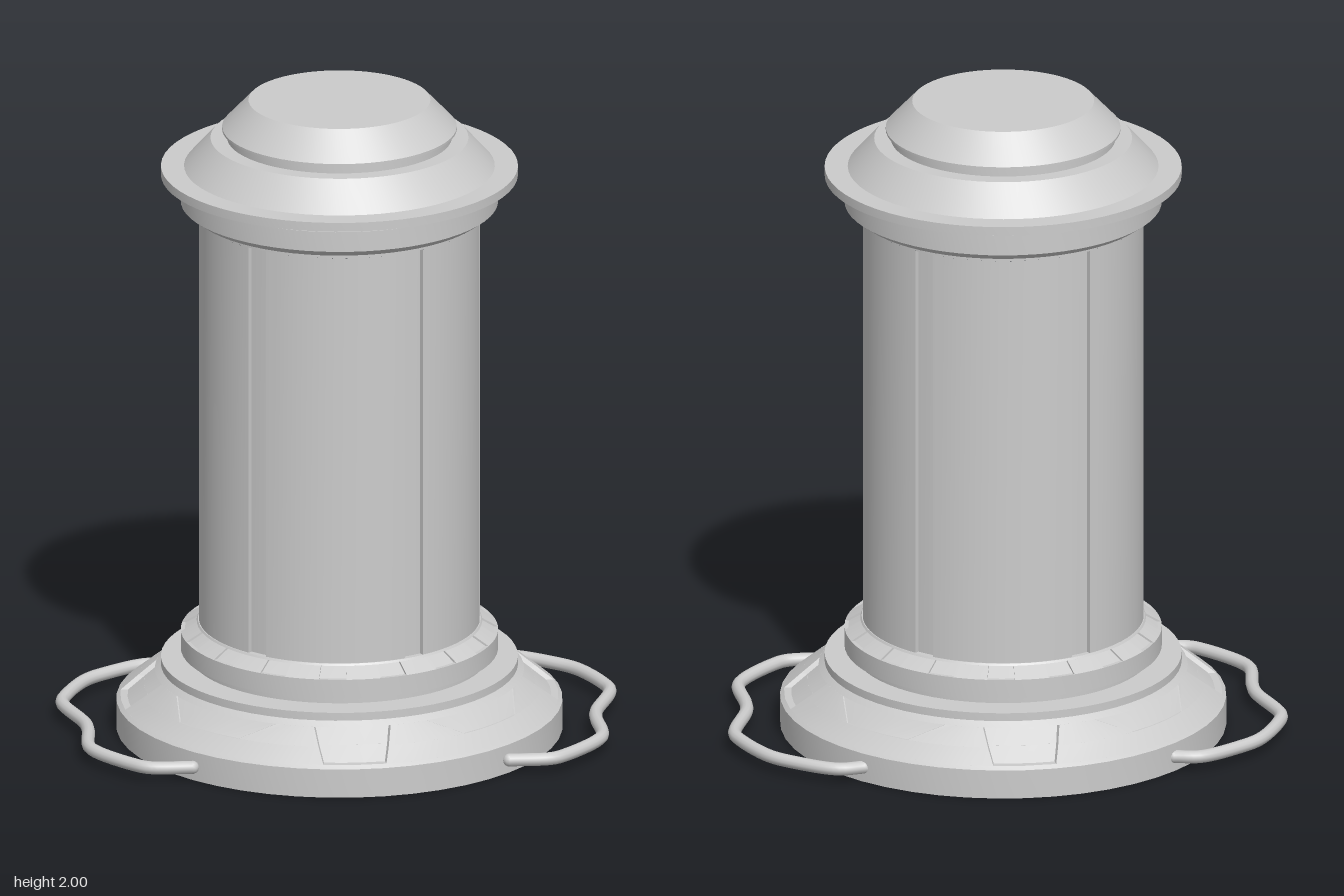
import * as THREE from 'three';
import { toCreasedNormals } from 'three/addons/utils/BufferGeometryUtils.js';

const material = new THREE.MeshStandardMaterial({ color: 0xcccccc });
const rad = THREE.MathUtils.degToRad;

function addMesh(group, name, geometry) {
  const mesh = new THREE.Mesh(geometry, material);
  mesh.name = name;
  group.add(mesh);
  return mesh;
}

// Solid of revolution with crisp edges; points are [radius, height] from bottom to top
function turned(points, segments) {
  const profile = points.map(([r, y]) => new THREE.Vector2(r, y));
  return toCreasedNormals(new THREE.LatheGeometry(profile, segments), 0.3);
}

// Conical wall with recesses. Each notch has a centre angle, half widths at the
// bottom and top (degrees from the front), and a depth.
function notchedBand(y0, r0, y1, r1, notches, step) {
  const sorted = [...notches].sort((a, b) => a.at - b.at);
  const outline = []; // [angle at bottom, angle at top, depth]
  const arc = (a0, a1, b0, b1, depth) => {
    const n = Math.max(1, Math.ceil((b0 - a0) / step));
    for (let k = 0; k <= n; k++) {
      outline.push([a0 + (b0 - a0) * k / n, a1 + (b1 - a1) * k / n, depth]);
    }
  };
  sorted.forEach((n, i) => {
    const last = i === sorted.length - 1;
    const next = sorted[(i + 1) % sorted.length];
    const nextAt = next.at + (last ? 360 : 0);
    arc(n.at - n.w0, n.at - n.w1, n.at + n.w0, n.at + n.w1, n.depth);
    arc(n.at + n.w0, n.at + n.w1, nextAt - next.w0, nextAt - next.w1, 0);
  });
  outline.push([sorted[0].at + 360 - sorted[0].w0, sorted[0].at + 360 - sorted[0].w1, sorted[0].depth]);

  const point = (angle, r, y) => [r * Math.sin(rad(angle)), y, r * Math.cos(rad(angle))];
  const positions = [];
  for (let i = 0; i < outline.length - 1; i++) {
    const [p, q] = [outline[i], outline[i + 1]];
    const a = point(p[0], r0 - p[2], y0);
    const b = point(q[0], r0 - q[2], y0);
    const c = point(q[1], r1 - q[2], y1);
    const d = point(p[1], r1 - p[2], y1);
    positions.push(...a, ...b, ...c, ...a, ...c, ...d);
  }
  const geometry = new THREE.BufferGeometry();
  geometry.setAttribute('position', new THREE.Float32BufferAttribute(positions, 3));
  return toCreasedNormals(geometry, 0.3);
}

export function createModel() {
  const model = new THREE.Group();
  model.name = 'pillar';

  // Base: drum, then a sloped skirt with four windows and shallow corner panels
  const skirtRadius = (y) => 0.675 - 1.227 * (y - 0.09);
  addMesh(model, 'baseDrum', turned([
    [0, 0], [0.675, 0], [0.675, 0.09], [skirtRadius(0.1), 0.1], [0, 0.1],
  ], 48));
  const quarters = [0, 90, 180, 270];
  const windows = (w0, w1) => quarters.map((at) => ({ at, w0, w1, depth: 0.022 }));
  const panels = quarters.map((q) => ({ at: q + 45, w0: 11, w1: 21, depth: 0.004 }));
  addMesh(model, 'skirtLower', notchedBand(0.1, skirtRadius(0.1), 0.14, skirtRadius(0.14),
    windows(8.3, 10), 7.5));
  addMesh(model, 'skirtPanelLedge', new THREE.CylinderGeometry(
    skirtRadius(0.14) - 0.022, skirtRadius(0.14) - 0.022, 0.004, 48).translate(0, 0.138, 0));
  const ledge = new THREE.RingGeometry(skirtRadius(0.14) - 0.012, skirtRadius(0.14), 12, 1, 0, rad(30));
  ledge.rotateX(-Math.PI / 2);
  quarters.forEach((q) => {
    const mesh = addMesh(model, 'panelSill', ledge);
    mesh.position.y = 0.14;
    mesh.rotation.y = rad(q + 30);
  });
  addMesh(model, 'skirtUpper', notchedBand(0.14, skirtRadius(0.14), 0.185, skirtRadius(0.185),
    [...windows(10, 12), ...panels], 7.5));

  // Stepped rings above the skirt
  addMesh(model, 'baseRings', turned([
    [0, 0.185], [skirtRadius(0.185), 0.185], [0.54, 0.2], [0.54, 0.225], [0.45, 0.225],
    [0.45, 0.25], [0.48, 0.25], [0.48, 0.31], [0, 0.31],
  ], 64));

  // Sloped collar with sixteen small recesses
  const slots = Array.from({ length: 16 }, (_, i) => (
    { at: 16 + i * 22.5, w0: 5, w1: 5, depth: 0.012 }));
  addMesh(model, 'collar', notchedBand(0.31, 0.48, 0.338, 0.432, slots, 5));
  addMesh(model, 'collarTop', new THREE.CylinderGeometry(0.428, 0.432, 0.006, 64).translate(0, 0.341, 0));

  // Column with six shallow vertical grooves
  const grooves = [28, 84.5, 140, 208, 264.5, 320].map((at) => (
    { at, w0: 4.3, w1: 4.3, depth: 0.014 }));
  addMesh(model, 'column', notchedBand(0.34, 0.425, 1.638, 0.425, grooves, 5));

  // Capital: collar, wide flange and stepped domed cap
  addMesh(model, 'capital', turned([
    [0, 1.638], [0.425, 1.638], [0.425, 1.65], [0.45, 1.655], [0.48, 1.677], [0.48, 1.74],
    [0.445, 1.74], [0.445, 1.762], [0.54, 1.762], [0.54, 1.79], [0.47, 1.79],
    [0.39, 1.88], [0.34, 1.88], [0.34, 1.908], [0.355, 1.908], [0.355, 1.915],
    [0.275, 2], [0, 2],
  ], 64));

  // Bent cables at either side of the base
  const route = [
    [0.47, -0.475], [0.55, -0.485], [0.68, -0.41], [0.745, -0.35], [0.815, -0.21], [0.83, -0.14],
    [0.775, 0.05], [0.77, 0.12], [0.778, 0.27], [0.755, 0.33], [0.66, 0.445], [0.61, 0.482], [0.48, 0.488],
  ];
  for (const [side, name] of [[1, 'leftCable'], [-1, 'rightCable']]) {
    const points = route.map(([x, z]) => new THREE.Vector3(side * x, 0.045, z));
    const cable = new THREE.Group();
    cable.name = name;
    model.add(cable);
    addMesh(cable, 'cableTube', new THREE.TubeGeometry(new THREE.CatmullRomCurve3(points), 90, 0.02, 12));
    for (const end of [points[0], points[points.length - 1]]) {
      addMesh(cable, 'cableEnd', new THREE.SphereGeometry(0.02, 12, 8)).position.copy(end);
    }
  }
  return model;
}
